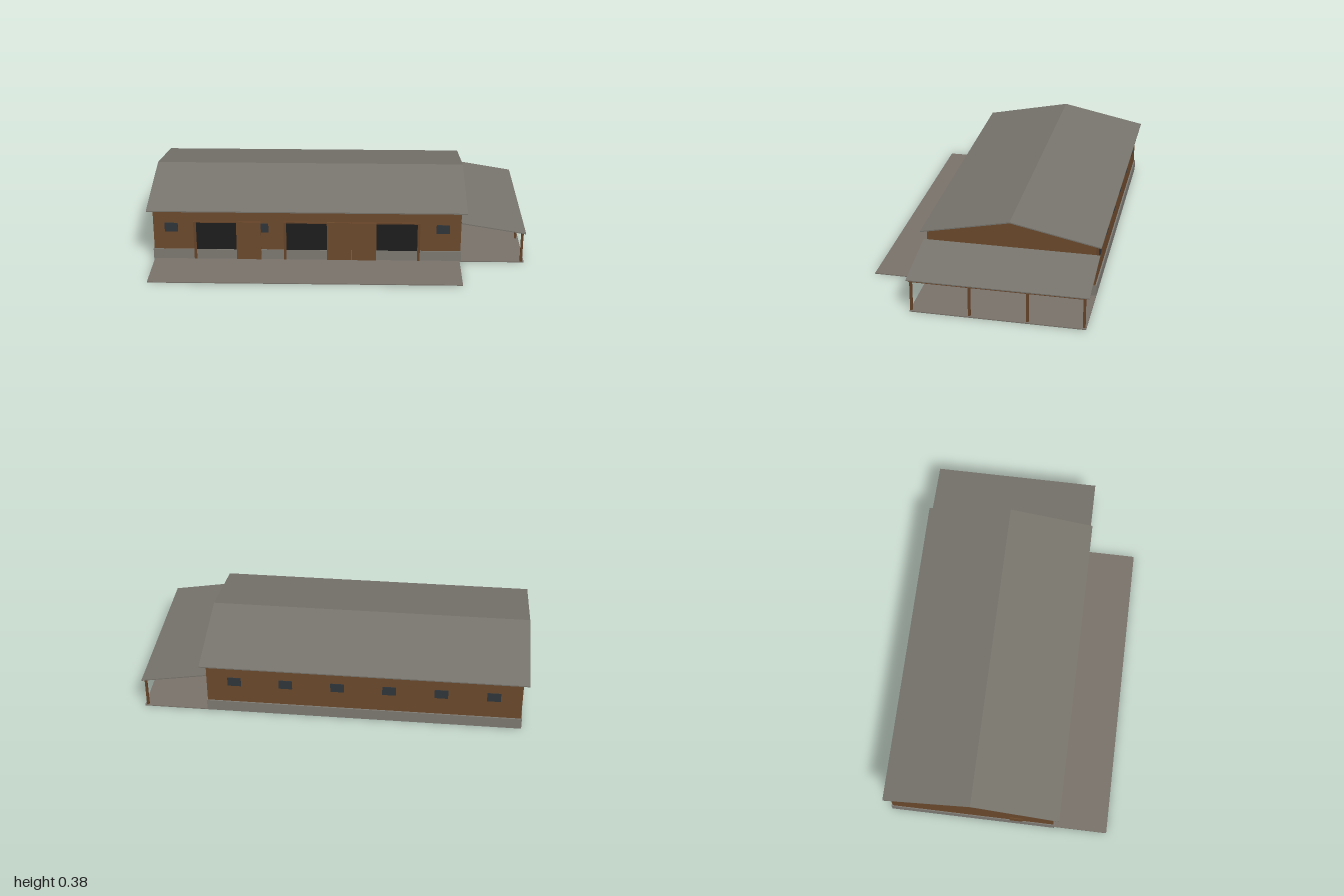
import * as THREE from 'three';

const mat = (name, color) => {
  const m = new THREE.MeshStandardMaterial({ color });
  m.name = name;
  return m;
};

export function createModel() {
  const wood = mat('wood cladding', 0x6d4a2d);
  const frame = mat('timber frame', 0x68452a);
  const sheet = mat('roof sheeting', 0x78756d);
  const concrete = mat('concrete plinth', 0x7f7b74);
  const paving = mat('paving', 0x7a736b);
  const glass = mat('window glass', 0x2f363b);
  const dark = mat('dark doorway', 0x1e1e1e);

  const group = new THREE.Group();
  const add = (name, geometry, material) => {
    const mesh = new THREE.Mesh(geometry, material);
    mesh.name = name;
    group.add(mesh);
    return mesh;
  };
  // Box given by its limits on each axis
  const box = (name, material, [x0, x1], [y0, y1], [z0, z1]) => {
    const g = new THREE.BoxGeometry(x1 - x0, y1 - y0, z1 - z0);
    g.translate((x0 + x1) / 2, (y0 + y1) / 2, (z0 + z1) / 2);
    return add(name, g, material);
  };
  const extrude = (points, depth) => new THREE.ExtrudeGeometry(
    new THREE.Shape(points.map(([x, y]) => new THREE.Vector2(x, y))),
    { depth, bevelEnabled: false });
  // Cross-section of [z, y] points swept along x
  const sweepX = (points, x0, x1) =>
    extrude(points.map(([z, y]) => [-z, y]), x1 - x0).rotateY(Math.PI / 2).translate(x0, 0, 0);

  const ridgeZ = -0.128, slope = 0.205, front = 0.305, back = -0.56;
  const roofY = z => 0.384 - slope * Math.abs(z - ridgeZ);

  // Main hall: plinth, gabled walls and roof
  box('plinth', concrete, [-0.975, 0.664], [0, 0.06], [-0.567, 0.311]);
  add('walls', sweepX([[front, 0.05], [front, roofY(front) - 0.005], [ridgeZ, 0.379],
    [back, roofY(back) - 0.005], [back, 0.05]], -0.97, 0.66), wood);
  const eaves = [0.333, ridgeZ, -0.59];
  add('mainRoof', sweepX([
    ...eaves.map(z => [z, roofY(z)]),
    ...[...eaves].reverse().map(z => [z, roofY(z) - 0.006])], -1, 0.69), sheet);

  // Front doorways, each with a post at its free side
  for (const [x0, x1, postX] of [[-0.743, -0.53, -0.75], [-0.265, -0.05, -0.272], [0.213, 0.43, 0.437]]) {
    box('doorway', dark, [x0, x1], [0.055, 0.215], [0.29, 0.309]);
    box('doorHeader', frame, [x0 - 0.01, x1 + 0.01], [0.215, 0.223], [0.3, 0.313]);
    box('doorPost', frame, [postX - 0.007, postX + 0.007], [0.002, 0.22], [0.3, 0.314]);
  }
  // Sliding doors pushed aside
  for (const [x0, x1] of [[-0.53, -0.4], [-0.05, 0.079], [0.082, 0.212]])
    box('slidingDoor', wood, [x0, x1], [0.006, 0.222], [0.306, 0.317]);

  // Windows along the front and back
  const windowAt = (x, z) =>
    box('window', glass, [x - 0.035, x + 0.035], [0.16, 0.21], [z - 0.003, z + 0.003]);
  for (const x of [-0.875, -0.395, 0.565]) windowAt(x, front);
  for (let i = 0; i < 6; i++) windowAt(-0.825 + i * 0.268, back);

  // Small side door
  box('sideDoor', wood, [-0.975, -0.965], [0.06, 0.11], [0.07, 0.14]);

  // Paved ground
  box('frontApron', paving, [-0.97, 0.657], [0, 0.005], [0.311, 0.592]);
  box('shelterFloor', paving, [0.664, 0.998], [0, 0.005], [-0.567, 0.311]);

  // Open side shelter
  add('shelterRoof', extrude([[0.66, 0.226], [1, 0.17], [1, 0.175], [0.66, 0.232]], 0.905)
    .translate(0, 0, -0.581), sheet);
  box('shelterBeam', frame, [0.977, 0.989], [0.16, 0.173], [-0.565, 0.315]);
  for (const z of [0.303, 0.011, -0.278, -0.556])
    box('shelterPost', frame, [0.977, 0.989], [0.004, 0.165], [z - 0.006, z + 0.006]);

  return group;
}
